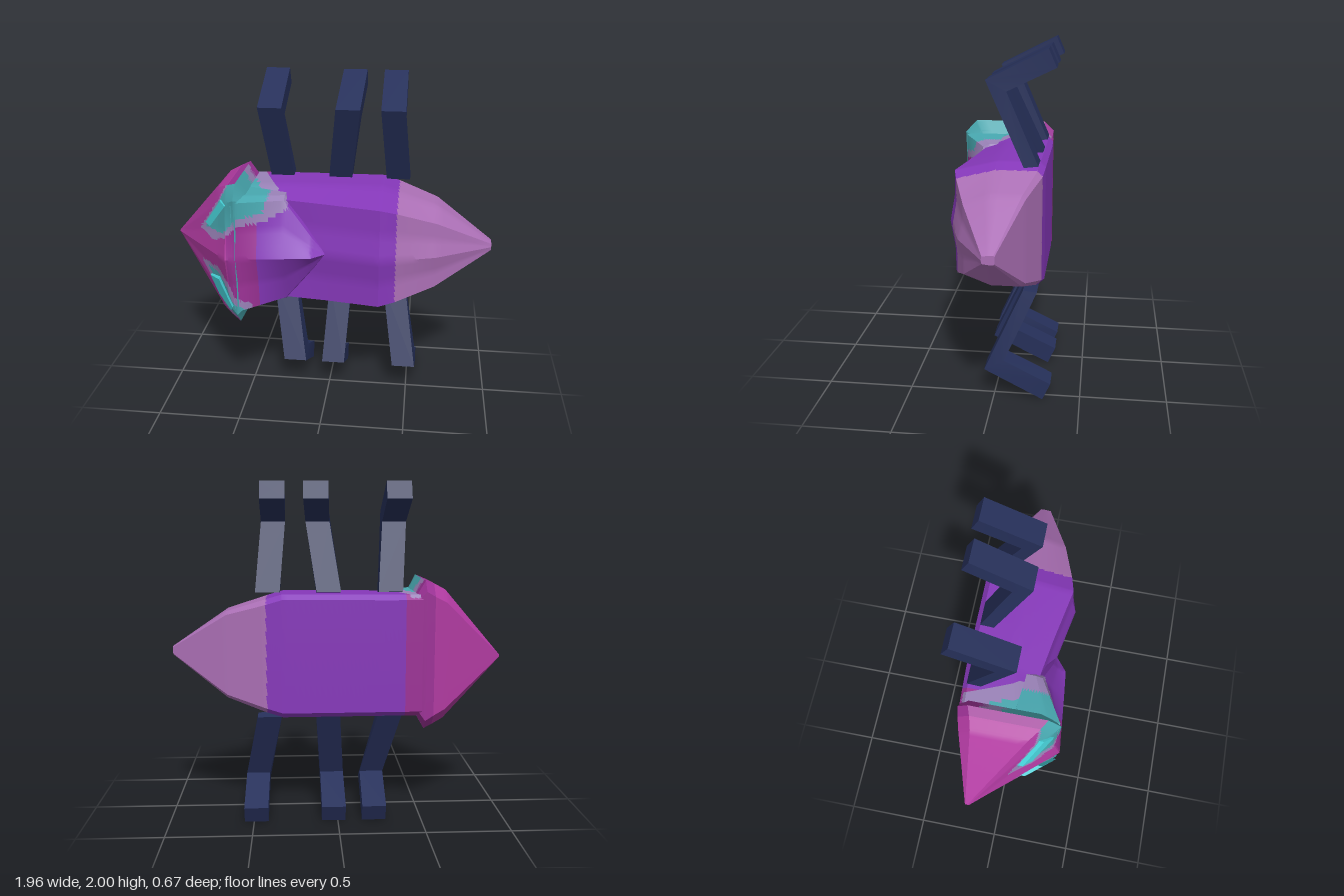
import * as THREE from 'three';
import { toCreasedNormals } from 'three/addons/utils/BufferGeometryUtils.js';

const paint = (name, color) => {
  const m = new THREE.MeshStandardMaterial({ color });
  m.name = name;
  return m;
};
const V = (x, y, z) => new THREE.Vector3(x, y, z);

// Skin a row of rings, close both ends, and colour each small triangle by a rule.
function loft(name, rings, materials, rule = () => 0, along = 1, around = 1) {
  const refine = (list, n, mix) => list.slice(0, -1)
    .flatMap((a, i) => Array.from({ length: n }, (_, k) => mix(a, list[i + 1], k / n)))
    .concat([list[list.length - 1]]);
  const lerp = (a, b, t) => a.clone().lerp(b, t);
  const rows = refine(rings.map(r => refine([...r, r[0]], around, lerp)), along,
    (a, b, t) => a.map((p, i) => lerp(p, b[i], t)));
  const tris = [];
  for (let i = 0; i < rows.length - 1; i++) {
    for (let j = 0; j < rows[0].length - 1; j++) {
      const a = rows[i][j], b = rows[i][j + 1], c = rows[i + 1][j + 1], d = rows[i + 1][j];
      tris.push([a, b, c], [a, c, d]);
    }
  }
  [rows[0], rows[rows.length - 1]].forEach((row, end) => {
    const n = row.length - 1, mid = V(0, 0, 0);
    for (let j = 0; j < n; j++) mid.addScaledVector(row[j], 1 / n);
    for (let j = 0; j < n; j++) tris.push(end ? [mid, row[j], row[j + 1]] : [mid, row[j + 1], row[j]]);
  });
  // Turn the skin outward whatever the direction of the rings
  const origin = rings[0][0];
  const volume = tris.reduce((s, t) => {
    const [a, b, c] = t.map(p => p.clone().sub(origin));
    return s + a.dot(b.cross(c));
  }, 0);
  const buckets = materials.map(() => []);
  for (const t of tris) {
    const m = t[0].clone().add(t[1]).add(t[2]).divideScalar(3);
    const order = volume < 0 ? [t[0], t[2], t[1]] : t;
    order.forEach(p => buckets[rule(m.x, m.y, m.z)].push(p.x, p.y, p.z));
  }
  const geo = new THREE.BufferGeometry();
  geo.setAttribute('position', new THREE.Float32BufferAttribute(buckets.flat(), 3));
  let start = 0;
  buckets.forEach((b, i) => {
    if (b.length) geo.addGroup(start, b.length / 3, i);
    start += b.length / 3;
  });
  const mesh = new THREE.Mesh(toCreasedNormals(geo, 0.4), materials);
  mesh.name = name;
  return mesh;
}

// Cross-section: flat belly, straight sides, bevelled shoulders, rippled back
function section(x, yc, hw, zb, inset, zs, tw, zt, zc, dip = 0.012) {
  const half = [[hw - inset, zb], [hw, zb + inset], [hw, zs], [tw, zt], [tw * 0.5, (zt + zc) / 2 - dip]];
  return [[0, zb], ...half, [0, zc], ...half.reverse().map(([y, z]) => [-y, z])]
    .map(([y, z]) => V(x, yc + y, z));
}

function inside(poly, x, y) {
  let hit = false;
  poly.forEach(([ax, ay], i) => {
    const [bx, by] = poly[(i + 1) % poly.length];
    if ((ay > y) !== (by > y) && x < ax + (bx - ax) * (y - ay) / (by - ay)) hit = !hit;
  });
  return hit;
}

// Cheek patches: an outer halo and an inner patch on each side
const halos = [
  [[-0.79, 1.08], [-0.68, 1.06], [-0.6, 1.1], [-0.5, 1.19], [-0.35, 1.2], [-0.23, 1.27], [-0.23, 1.37],
    [-0.45, 1.38], [-0.5, 1.45], [-0.57, 1.43], [-0.64, 1.3]],
  [[-0.79, 0.87], [-0.65, 0.89], [-0.57, 0.8], [-0.54, 0.73], [-0.44, 0.68], [-0.45, 0.6], [-0.5, 0.55], [-0.61, 0.59]],
];
const patches = [
  [[-0.74, 1.11], [-0.6, 1.13], [-0.5, 1.24], [-0.37, 1.25], [-0.33, 1.37], [-0.45, 1.38], [-0.5, 1.45],
    [-0.56, 1.43], [-0.63, 1.3]],
  [[-0.74, 0.85], [-0.66, 0.85], [-0.59, 0.77], [-0.56, 0.69], [-0.48, 0.66], [-0.49, 0.58], [-0.6, 0.62]],
];

export function createModel() {
  const model = new THREE.Group();
  model.name = 'beetle';
  const skins = [
    paint('magenta', 0xb03aa0), paint('plum', 0x9c3296), paint('purple', 0x8638ba), paint('lilac', 0xac70b6),
    paint('teal', 0x48a8b0), paint('greyLilac', 0x9a82b8),
  ];
  const [MAGENTA, PLUM, PURPLE, LILAC, TEAL, HALO] = [0, 1, 2, 3, 4, 5];
  const eyePaint = paint('cyan', 0x45cdd4), legPaint = paint('navy', 0x26305a);

  const cheek = (x, y, base) => {
    if (patches.some(p => inside(p, x, y))) return TEAL;
    return halos.some(p => inside(p, x, y)) ? HALO : base;
  };

  // Wedge-shaped head with a stepped rear rim
  model.add(loft('head', [
    section(-0.98, 0.97, 0.008, -0.145, 0.002, -0.13, 0.006, -0.125, -0.12, 0),
    section(-0.64, 0.985, 0.39, -0.235, 0.07, 0.16, 0.3, 0.2, 0.27),
    section(-0.58, 0.985, 0.42, -0.25, 0.07, 0.21, 0.33, 0.27, 0.34),
    section(-0.52, 0.985, 0.445, -0.26, 0.06, 0.25, 0.365, 0.325, 0.335),
    section(-0.47, 0.99, 0.36, -0.25, 0.04, 0.2, 0.33, 0.26, 0.29),
  ], skins, (x, y, z) => {
    const base = x < -0.57 ? MAGENTA : PLUM;
    if (x > -0.52) return z > 0 ? TEAL : z > -0.12 ? HALO : PLUM;
    return z > 0.22 + (x + 0.55) * 0.9 ? cheek(x, y, base) : base;
  }, 14, 7));

  // Long body tapering to a point
  model.add(loft('body', [
    section(-0.5, 0.99, 0.362, -0.26, 0.03, 0.05, 0.325, 0.2, 0.2),
    section(-0.25, 0.992, 0.362, -0.27, 0.03, 0, 0.315, 0.15, 0.17),
    section(0, 0.993, 0.364, -0.27, 0.03, 0, 0.31, 0.19, 0.22),
    section(0.32, 0.993, 0.365, -0.27, 0.03, 0, 0.305, 0.25, 0.28),
    section(0.42, 0.993, 0.335, -0.26, 0.03, 0, 0.28, 0.225, 0.25),
    section(0.65, 0.995, 0.258, -0.19, 0.02, 0, 0.2, 0.15, 0.18),
    section(0.98, 1.005, 0.025, -0.065, 0.005, -0.035, 0.02, 0, 0.005, 0),
  ], skins, (x, y, z) => {
    if (y > 1.27 && z > -0.25 && x < -0.2) {
      if (x < -0.43 + 0.35 * z) return TEAL;
      if (x < -0.33 + 0.4 * z) return HALO;
    }
    return x < -0.4 ? PLUM : x < 0.415 ? PURPLE : LILAC;
  }, 10, 4));

  // Raised shield over the front of the back, ending in a point
  model.add(loft('shield', [
    section(-0.54, 0.985, 0.35, 0.05, 0.01, 0.24, 0.33, 0.31, 0.337),
    section(-0.5, 0.99, 0.363, 0.05, 0.01, 0.24, 0.345, 0.315, 0.332),
    section(-0.25, 0.995, 0.335, 0.05, 0.01, 0.13, 0.315, 0.17, 0.307),
    section(-0.08, 0.998, 0.11, 0.1, 0.01, 0.19, 0.1, 0.21, 0.288),
    section(0, 1, 0.006, 0.19, 0.002, 0.2, 0.004, 0.21, 0.22, 0),
  ], skins, (x, y) => cheek(x, y, x < -0.4 ? PLUM : PURPLE), 12, 7));

  // Slanted eye plates
  const eyes = {
    leftEye: [[-0.735, 1.145], [-0.695, 1.14], [-0.575, 1.305], [-0.615, 1.32]],
    rightEye: [[-0.72, 0.8], [-0.645, 0.82], [-0.55, 0.67], [-0.565, 0.64], [-0.66, 0.7]],
  };
  for (const [name, outline] of Object.entries(eyes)) {
    const ring = lift => outline.map(([x, y]) =>
      V(x, y, 0.2 + lift + 1.18 * (x + 0.655) - 0.25 * (Math.abs(y - 0.985) - 0.24)));
    model.add(loft(name, [ring(-0.03), ring(0.022)], [eyePaint]));
  }

  // Six bent legs: x at the hip, knee and foot; each bend is an outer and inner [y, z]
  const bends = [[[1.36, -0.16], [1.37, -0.24]], [[1.83, 0.055], [1.77, -0.06]], [[2, -0.285], [1.9, -0.33]]];
  const leg = (name, xs, lower) => model.add(loft(name, bends.map(([o, n], i) =>
    [[o, -1], [o, 1], [n, 1], [n, -1]].map(([[y, z], s]) =>
      V(xs[i] + s * 0.071, lower ? 2 - y : y, z))), [legPaint]));
  [[-0.31, -0.345, -0.345], [0.05, 0.11, 0.125], [0.405, 0.372, 0.37]]
    .forEach((xs, i) => leg('upperLeg' + (i + 1), xs, false));
  [[-0.31, -0.218, -0.215], [0.055, 0.028, 0.025], [0.4, 0.48, 0.485]]
    .forEach((xs, i) => leg('lowerLeg' + (i + 1), xs, true));

  return model;
}
